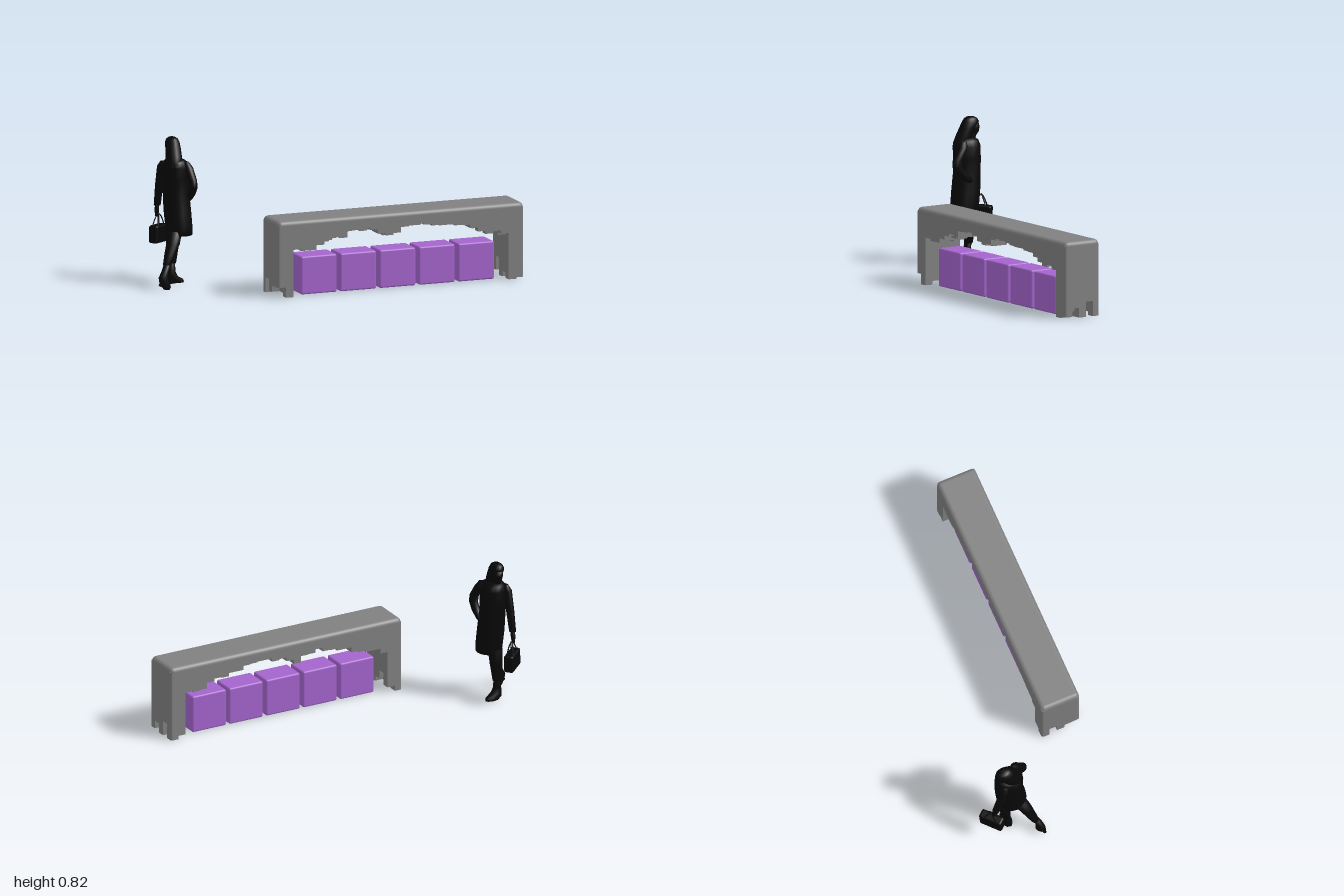
import * as THREE from 'three';
import { mergeGeometries } from 'three/addons/utils/BufferGeometryUtils.js';
import { RoundedBoxGeometry } from 'three/addons/geometries/RoundedBoxGeometry.js';

const grey = new THREE.MeshStandardMaterial({ color: 0x808080 });
grey.name = 'canopyGrey';
const purple = new THREE.MeshStandardMaterial({ color: 0xa464cc });
purple.name = 'seatPurple';
const black = new THREE.MeshStandardMaterial({ color: 0x080808 });
black.name = 'figureBlack';

function mesh(parent, name, geometry, material) {
  const m = new THREE.Mesh(geometry, material);
  m.name = name;
  parent.add(m);
  return m;
}

function seeded(seed) {
  return () => (seed = (seed * 16807) % 2147483647) / 2147483647;
}

// Closed body through level oval rings [x, y, z, rx, rz], listed from top to bottom
function loft(rings, sides = 16) {
  const pos = [], index = [];
  for (const [x, y, z, rx, rz] of rings) {
    for (let i = 0; i < sides; i++) {
      const a = (i / sides) * Math.PI * 2;
      pos.push(x + rx * Math.sin(a), y, z + rz * Math.cos(a));
    }
  }
  for (let r = 0; r < rings.length - 1; r++) {
    for (let i = 0; i < sides; i++) {
      const a = r * sides + i, b = r * sides + (i + 1) % sides;
      index.push(a, a + sides, b, b, a + sides, b + sides);
    }
  }
  const top = pos.length / 3, last = rings.length - 1;
  pos.push(...rings[0].slice(0, 3), ...rings[last].slice(0, 3));
  for (let i = 0; i < sides; i++) {
    const j = (i + 1) % sides;
    index.push(top, i, j, top + 1, last * sides + j, last * sides + i);
  }
  const g = new THREE.BufferGeometry();
  g.setAttribute('position', new THREE.Float32BufferAttribute(pos, 3));
  g.setIndex(index);
  g.computeVertexNormals();
  return g;
}

// Canopy: rounded roof over a grid of square columns cut to an arch
const X0 = -0.47, Z0 = 0.16, COLS = 32, ROWS = 5, CX = 1.47 / COLS, CZ = 0.229 / ROWS, EAVE = 0.405;

function column(i, k, bottom) {
  const h = EAVE - bottom, x = X0 + (i + 0.5) * CX, z = Z0 + (k + 0.5) * CZ;
  const corner = (i === 0 || i === COLS - 1) && (k === 0 || k === ROWS - 1);
  if (!corner) return new THREE.BoxGeometry(CX, h, CZ).toNonIndexed().translate(x, bottom + h / 2, z);
  // Corner columns have one rounded outer edge
  const sx = i === 0 ? -1 : 1, sz = k === 0 ? 1 : -1, r = 0.016, w = CX / 2, d = CZ / 2;
  const s = new THREE.Shape();
  s.moveTo(-sx * w, -sz * d);
  s.lineTo(sx * w, -sz * d);
  s.lineTo(sx * w, sz * (d - r));
  s.quadraticCurveTo(sx * w, sz * d, sx * (w - r), sz * d);
  s.lineTo(-sx * w, sz * d);
  s.closePath();
  return new THREE.ExtrudeGeometry(s, { depth: h, bevelEnabled: false, curveSegments: 5 })
    .rotateX(-Math.PI / 2).translate(x, bottom, z);
}

const ARCH = [[-0.38, 0.24], [-0.3, 0.25], [-0.22, 0.265], [-0.15, 0.3], [-0.06, 0.315], [0, 0.335], [0.1, 0.33],
  [0.19, 0.295], [0.24, 0.315], [0.32, 0.34], [0.5, 0.34], [0.62, 0.32], [0.72, 0.295], [0.8, 0.265], [0.91, 0.24]];

function archHeight(x) {
  const n = ARCH.findIndex((p) => p[0] >= x);
  const [a, b] = [ARCH[n - 1], ARCH[n]];
  return a[1] + (b[1] - a[1]) * (x - a[0]) / (b[0] - a[0]);
}

// Foot heights of the leg columns, from back to front
const LEGS = {
  0: [0.0, 0.085, 0.02, 0.055, 0.058],
  1: [0.03, 0.1, 0.05, 0.02, 0.0],
  30: [0.02, 0.1, 0.0, 0.03, 0.0],
  31: [0.0, 0.085, 0.0, 0.055, 0.008],
};

function buildCanopy() {
  const g = new THREE.Group();
  g.name = 'canopy';
  const rand = seeded(41), parts = [];
  for (let i = 0; i < COLS; i++) {
    for (let k = 0; k < ROWS; k++) {
      const bottom = LEGS[i] ? LEGS[i][k]
        : Math.min(0.36, archHeight(X0 + (i + 0.5) * CX) + Math.floor(rand() * 4) * 0.008);
      parts.push(column(i, k, bottom));
    }
  }
  mesh(g, 'hangingColumns', mergeGeometries(parts), grey);
  mesh(g, 'roof', new RoundedBoxGeometry(1.47, 0.075, 0.229, 4, 0.025), grey)
    .position.set(0.265, 0.3915, 0.2745);
  return g;
}

function buildSeats() {
  const g = new THREE.Group();
  g.name = 'seats';
  for (let i = 0; i < 5; i++) {
    mesh(g, 'seat' + (i + 1), new RoundedBoxGeometry(0.215, 0.215, 0.148, 2, 0.01), purple)
      .position.set(-0.2075 + i * 0.235, 0.1075, 0.274);
  }
  return g;
}

function buildFigure() {
  const g = new THREE.Group();
  g.name = 'walkingFigure';
  const body = (name, rings) => mesh(g, name, loft(rings), black);

  body('head', [[-0.85, 0.8, -0.235, 0.02, 0.025], [-0.848, 0.785, -0.245, 0.03, 0.036],
    [-0.845, 0.762, -0.25, 0.029, 0.034], [-0.845, 0.74, -0.248, 0.026, 0.03],
    [-0.848, 0.72, -0.245, 0.018, 0.02], [-0.85, 0.68, -0.22, 0.026, 0.03]]);
  body('hair', [[-0.85, 0.824, -0.23, 0.018, 0.022], [-0.85, 0.815, -0.231, 0.03, 0.04],
    [-0.85, 0.795, -0.23, 0.039, 0.052], [-0.852, 0.765, -0.212, 0.042, 0.047],
    [-0.855, 0.725, -0.195, 0.044, 0.05], [-0.858, 0.685, -0.18, 0.045, 0.052], [-0.858, 0.65, -0.165, 0.035, 0.035]]);
  body('coat', [[-0.85, 0.71, -0.205, 0.04, 0.05], [-0.845, 0.695, -0.2, 0.06, 0.07],
    [-0.843, 0.665, -0.2, 0.075, 0.08], [-0.842, 0.6, -0.202, 0.072, 0.08], [-0.84, 0.52, -0.2, 0.072, 0.08],
    [-0.836, 0.42, -0.19, 0.075, 0.084], [-0.832, 0.34, -0.18, 0.074, 0.084], [-0.83, 0.285, -0.176, 0.072, 0.08]]);

  // Arms: one hangs down to the bag, one is bent into the pocket
  body('hangingSleeve', [[-0.9, 0.69, -0.245, 0.012, 0.018], [-0.903, 0.66, -0.257, 0.024, 0.028],
    [-0.908, 0.55, -0.278, 0.022, 0.028], [-0.908, 0.43, -0.307, 0.019, 0.02]]);
  body('hangingHand', [[-0.908, 0.435, -0.308, 0.011, 0.012], [-0.908, 0.4, -0.313, 0.013, 0.015],
    [-0.906, 0.365, -0.318, 0.008, 0.01]]);
  body('bentSleeve', [[-0.8, 0.695, -0.15, 0.015, 0.02], [-0.79, 0.665, -0.14, 0.025, 0.028],
    [-0.782, 0.6, -0.1, 0.024, 0.03], [-0.778, 0.56, -0.097, 0.023, 0.031], [-0.778, 0.52, -0.125, 0.022, 0.034],
    [-0.778, 0.485, -0.165, 0.018, 0.034], [-0.782, 0.455, -0.195, 0.01, 0.018]]);

  // Legs and boots
  body('trailingLeg', [[-0.868, 0.31, -0.15, 0.042, 0.042], [-0.89, 0.24, -0.122, 0.038, 0.035],
    [-0.915, 0.19, -0.105, 0.031, 0.029], [-0.94, 0.135, -0.086, 0.023, 0.022]]);
  body('trailingBoot', [[-0.94, 0.14, -0.084, 0.018, 0.018], [-0.96, 0.1, -0.068, 0.021, 0.02],
    [-0.972, 0.07, -0.06, 0.028, 0.02], [-0.965, 0.04, -0.06, 0.03, 0.02],
    [-0.953, 0.016, -0.064, 0.026, 0.022], [-0.95, 0.002, -0.066, 0.016, 0.018]]);
  const back = mesh(g, 'trailingHeel', new THREE.CylinderGeometry(0.012, 0.009, 0.04, 10), black);
  back.position.set(-0.987, 0.043, -0.05);
  back.rotation.z = -0.5;
  body('leadingLeg', [[-0.84, 0.31, -0.23, 0.042, 0.036], [-0.848, 0.22, -0.228, 0.037, 0.029],
    [-0.858, 0.115, -0.222, 0.026, 0.023]]);
  body('leadingBoot', [[-0.858, 0.125, -0.221, 0.02, 0.019], [-0.862, 0.07, -0.214, 0.023, 0.022],
    [-0.856, 0.04, -0.215, 0.032, 0.026], [-0.838, 0.02, -0.219, 0.048, 0.026],
    [-0.828, 0.008, -0.221, 0.044, 0.024], [-0.825, 0.002, -0.222, 0.04, 0.02]]);
  mesh(g, 'leadingHeel', new THREE.CylinderGeometry(0.014, 0.012, 0.035, 10), black)
    .position.set(-0.87, 0.0195, -0.206);

  // Handbag with two looped handles
  const bag = new THREE.Group();
  bag.name = 'handbag';
  mesh(bag, 'bagBody', new RoundedBoxGeometry(0.135, 0.1, 0.055, 3, 0.012), black);
  for (const z of [-0.018, 0.018]) {
    const curve = new THREE.CatmullRomCurve3([[-0.035, 0.045, z], [-0.015, 0.09, z * 0.6], [0, 0.11, z * 0.2],
      [0.015, 0.09, z * 0.6], [0.035, 0.045, z]].map((p) => new THREE.Vector3(...p)));
    mesh(bag, 'bagHandle', new THREE.TubeGeometry(curve, 16, 0.0035, 6), black);
  }
  bag.position.set(-0.895, 0.266, -0.325);
  bag.rotation.set(0, 0.72, -0.06);
  g.add(bag);
  return g;
}

export function createModel() {
  const model = new THREE.Group();
  model.name = 'shelterWithSeatsAndFigure';
  model.add(buildCanopy(), buildSeats(), buildFigure());
  return model;
}
